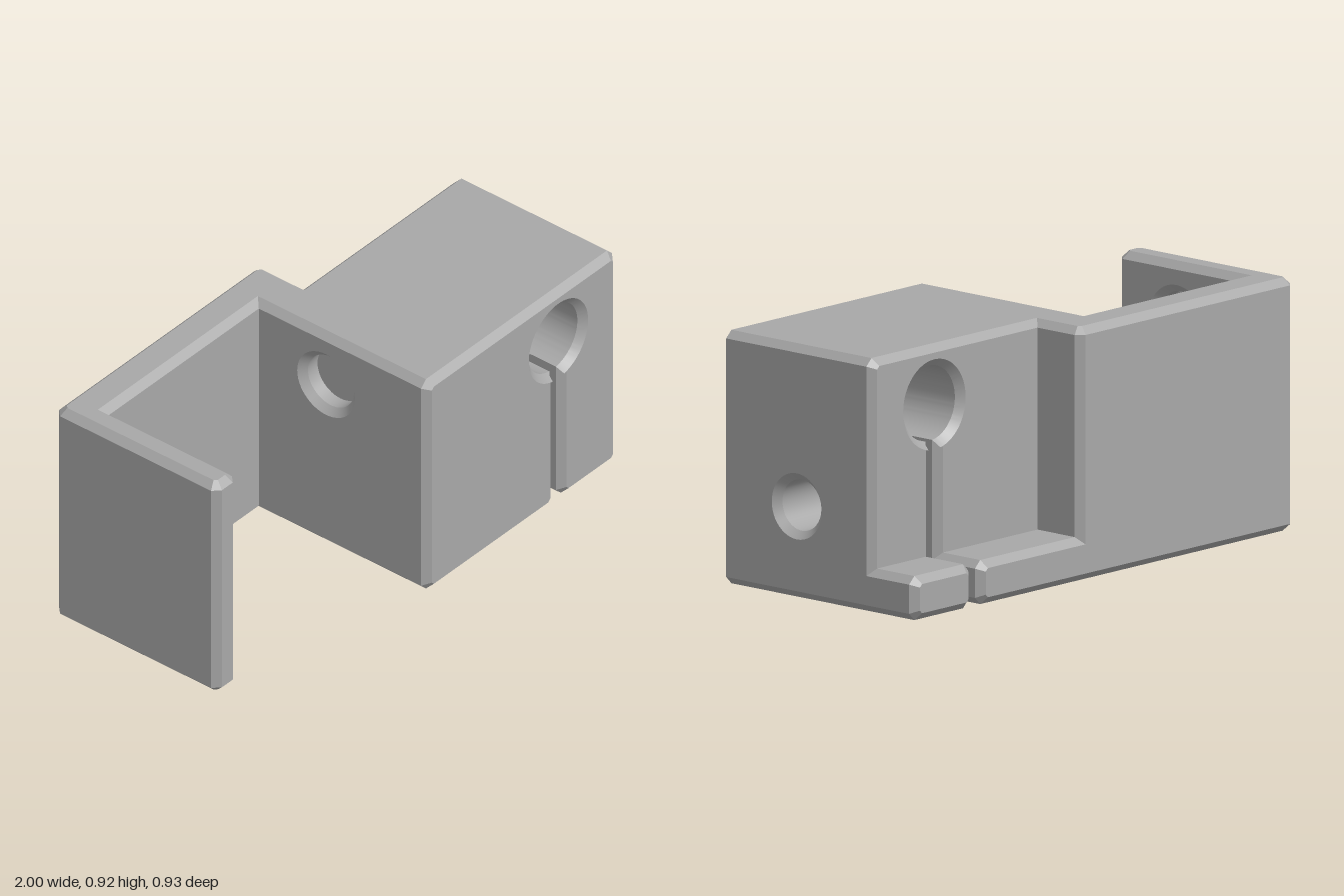
import * as THREE from 'three';
import { toCreasedNormals } from 'three/addons/utils/BufferGeometryUtils.js';

const C = 0.027;          // chamfer on every outer edge
const H = 0.92;           // overall height
const BACK = -0.465, FRONT = 0.465;
const SLOT_X = 0.672, SLOT_HALF = 0.018;

const shapeOf = (pts) => new THREE.Shape(pts.map(([x, y]) => new THREE.Vector2(x, y)));

// Extrusion along z from z0 to z1 with chamfered ends, kept inside the outline
function extrude(shape, z0, z1) {
  const g = new THREE.ExtrudeGeometry(shape, {
    depth: z1 - z0 - 2 * C, bevelEnabled: true, bevelSegments: 1,
    bevelSize: C, bevelThickness: C, bevelOffset: -C, curveSegments: 48,
  });
  return g.translate(0, 0, z0 + C);
}

// Rectangle with chamfered corners
function chamferedRect(x0, x1, y0, y1) {
  return shapeOf([[x0 + C, y0], [x1 - C, y0], [x1, y0 + C], [x1, y1 - C],
    [x1 - C, y1], [x0 + C, y1], [x0, y1 - C], [x0, y0 + C]]);
}

// Drop the flat side face lying on a given x plane
function openFace(geometry, x) {
  const g = geometry.index ? geometry.toNonIndexed() : geometry;
  const p = g.attributes.position;
  const kept = [];
  for (let i = 0; i < p.count; i += 3) {
    if ([0, 1, 2].every((k) => Math.abs(p.getX(i + k) - x) < 1e-4)) continue;
    for (let k = 0; k < 3; k++) kept.push(p.getX(i + k), p.getY(i + k), p.getZ(i + k));
  }
  const out = new THREE.BufferGeometry();
  out.setAttribute('position', new THREE.Float32BufferAttribute(kept, 3));
  return out;
}

export function createModel() {
  const model = new THREE.Group();
  model.name = 'clampBracket';
  const grey = new THREE.MeshStandardMaterial({ color: 0xa8a8a8, side: THREE.DoubleSide });
  grey.name = 'grey';

  const add = (name, geometry) => {
    const mesh = new THREE.Mesh(toCreasedNormals(geometry, 0.4), grey);
    mesh.name = name;
    model.add(mesh);
  };

  // Flat face on plane x, facing side (+1 or -1), with a chamfered round bore
  function boredFace(name, x, side, z0, z1, hole) {
    const u = (z) => -side * z;
    const face = shapeOf([[u(z0), C], [u(z1), C], [u(z1), H - C], [u(z0), H - C]]);
    face.holes.push(new THREE.Path().absarc(u(hole.z), hole.y, hole.r + C, 0, Math.PI * 2, true));
    add(name + 'Face', new THREE.ShapeGeometry(face, 24)
      .rotateY(side * Math.PI / 2).translate(x, 0, 0));
    const profile = [[hole.r + C, 0], [hole.r, -C], [hole.r, -hole.depth], [0, -hole.depth]]
      .map(([r, y]) => new THREE.Vector2(r, y));
    add(name + 'Bore', new THREE.LatheGeometry(profile, 48)
      .rotateZ(-side * Math.PI / 2).translate(x, hole.y, hole.z));
  }

  // Clamp block with a keyhole running front to back
  const L = -0.055, R = 1, holeY = 0.705, holeR = 0.137;
  const a = Math.asin(SLOT_HALF / holeR);
  const block = new THREE.Shape();
  block.moveTo(L + C, 0);
  block.lineTo(SLOT_X - SLOT_HALF - C, 0);
  block.lineTo(SLOT_X - SLOT_HALF, C);
  block.absarc(SLOT_X, holeY, holeR, -Math.PI / 2 - a, -Math.PI / 2 + a, true);
  for (const [x, y] of [[SLOT_X + SLOT_HALF, C], [SLOT_X + SLOT_HALF + C, 0], [R - C, 0],
    [R, C], [R, H - C], [R - C, H], [L + C, H], [L, H - C], [L, C]]) block.lineTo(x, y);
  const blockBack = -0.26;
  add('clampBlock', openFace(openFace(extrude(block, blockBack, FRONT), R), L));

  // Screw bore on the outer side, pin socket on the inner side
  const pin = { y: 0.705, z: 0, r: 0.106, depth: 0.08 };
  boredFace('screw', R, 1, blockBack + C, FRONT - C, { y: 0.335, z: 0.1, r: 0.093, depth: 0.3 });
  boredFace('blockPin', L, -1, blockBack + C, FRONT - C, pin);

  // Back wall and side arm, with a stub that runs into the block
  const armIn = -0.885, armFront = 0.285, wallFront = -0.31, wallEnd = 0.13;
  const plan = shapeOf([
    [-1 + C, BACK], [wallEnd - C, BACK], [wallEnd, BACK + C], [wallEnd, -0.2], [L, -0.2],
    [L, wallFront], [armIn, wallFront], [armIn, armFront - C], [armIn - C, armFront],
    [-1 + C, armFront], [-1, armFront - C], [-1, BACK + C]]);
  const bracket = extrude(plan, 0, H).rotateX(Math.PI / 2).translate(0, H, 0);
  add('wallAndArm', openFace(bracket, armIn));
  boredFace('armPin', armIn, 1, wallFront, armFront - C, pin);

  // Low rear ledge, split by the slot
  const ledgeTop = 0.16;
  add('ledgeInner', extrude(chamferedRect(0.05, SLOT_X - SLOT_HALF, 0, ledgeTop), BACK, -0.2));
  add('ledgeOuter', extrude(chamferedRect(SLOT_X + SLOT_HALF, R, 0, ledgeTop), BACK, -0.2));

  return model;
}
